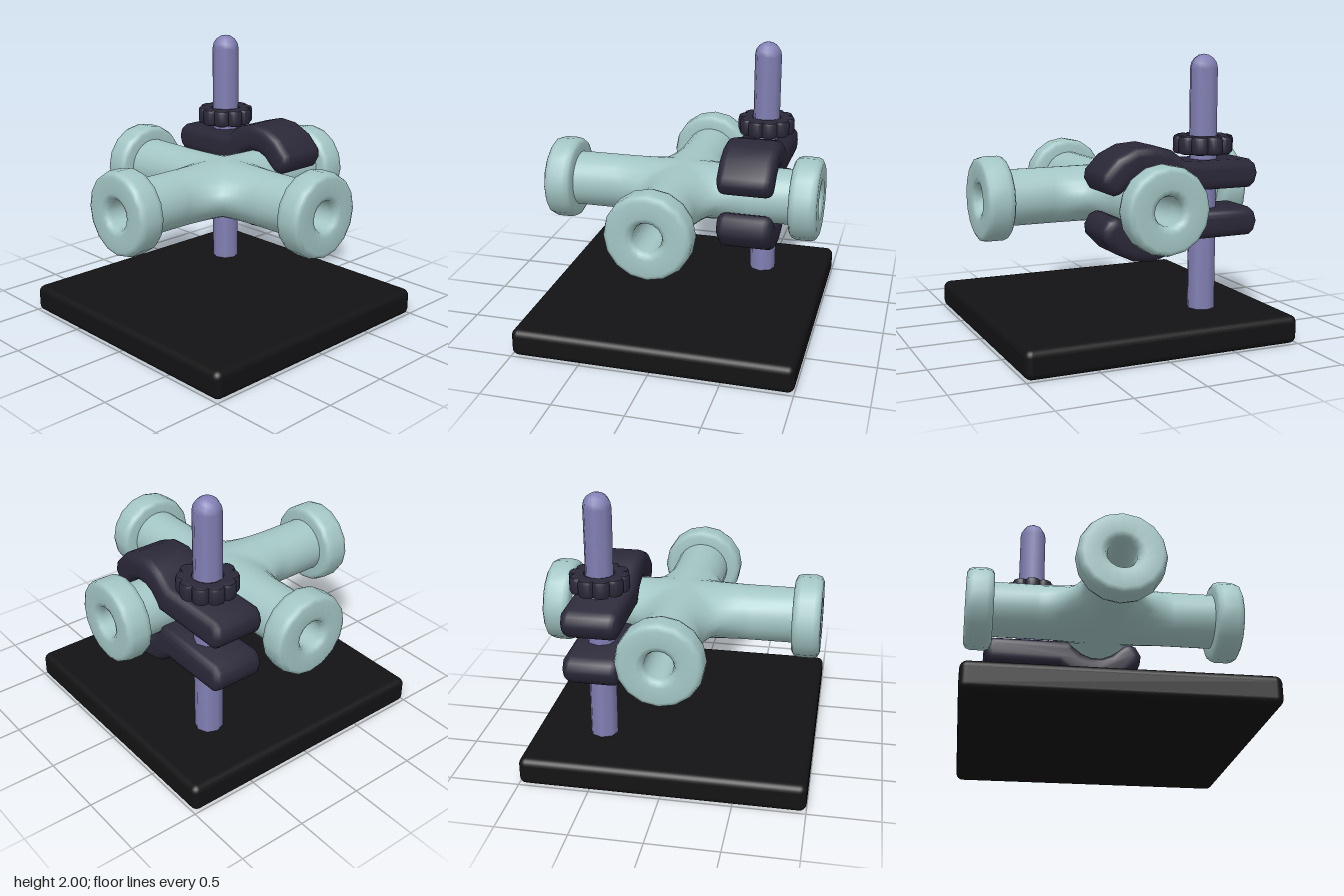
import * as THREE from 'three';
import { mergeGeometries, mergeVertices, toCreasedNormals } from 'three/addons/utils/BufferGeometryUtils.js';
import { RoundedBoxGeometry } from 'three/addons/geometries/RoundedBoxGeometry.js';

const paint = (color) => new THREE.MeshStandardMaterial({ color });
const PIPE = paint(0xa3c6c5), ROD = paint(0x8280b4), CLAMP = paint(0x2b2839), BASE = paint(0x131315);

const lathe = (points, sides) =>
  new THREE.LatheGeometry(points.map(([r, y]) => new THREE.Vector2(r, y)), sides);

// Skin of a four-way pipe joint: each quadrant spans from the arm ridges out to
// a side curve, through half-ellipse sections. rows = [ridgeX, ridgeZ, sideX, sideZ].
function crossSkin(rows, radius, inward) {
  const n = 13, pos = [], index = [];
  rows.forEach(([rx, rz, sx, sz], i) => {
    for (let j = 0; j < n; j++) {
      const a = -Math.PI / 2 + (Math.PI * j) / (n - 1), c = Math.cos(a);
      pos.push(rx + (sx - rx) * c, radius * Math.sin(a), rz + (sz - rz) * c);
      if (i === rows.length - 1 || j === n - 1) continue;
      const p = i * n + j, q = p + n;
      if (inward) index.push(p, q, p + 1, p + 1, q, q + 1);
      else index.push(p, p + 1, q, p + 1, q + 1, q);
    }
  });
  const quadrant = new THREE.BufferGeometry();
  quadrant.setAttribute('position', new THREE.Float32BufferAttribute(pos, 3));
  quadrant.setIndex(index);
  const parts = [0, 1, 2, 3].map((k) => quadrant.clone().rotateY((k * Math.PI) / 2));
  const skin = mergeVertices(mergeGeometries(parts), 1e-4);
  skin.computeVertexNormals();
  return skin;
}

// Clamp jaw: flat arm behind, curved grip over the pipe; sign -1 gives the lower jaw
function jawGeometry(sign) {
  const pts = [[-0.79, 0.27], [-0.83, 0.235], [-0.85, 0.17], [-0.83, 0.105], [-0.79, 0.07], [-0.19, 0.07]];
  const arc = (r, from, to, steps) => {
    for (let i = 0; i <= steps; i++) {
      const a = THREE.MathUtils.degToRad(from + ((to - from) * i) / steps);
      pts.push([r * Math.cos(a), r * Math.sin(a)]);
    }
  };
  arc(0.2, 145, 35, 5);
  pts.push([0.21, 0.08], [0.25, 0.07], [0.3, 0.09], [0.34, 0.16]);
  arc(0.4, 34, 137, 5);
  const bevel = 0.06;
  const shape = new THREE.Shape(pts.map(([z, y]) => new THREE.Vector2(z, sign * y)));
  const geo = new THREE.ExtrudeGeometry(shape, {
    depth: 0.4 - 2 * bevel, bevelThickness: bevel, bevelSize: bevel, bevelOffset: -bevel, bevelSegments: 4,
  });
  geo.translate(0, 0, bevel - 0.2).rotateY(-Math.PI / 2);
  return toCreasedNormals(geo, 0.9);
}

// Scalloped ring that screws onto the rod
function nutGeometry() {
  const lobes = 10, steps = 80, bevel = 0.025, height = 0.13;
  const outline = Array.from({ length: steps }, (_, i) => {
    const a = (i / steps) * Math.PI * 2;
    const r = 0.182 + 0.03 * Math.sqrt(Math.abs(Math.cos((a * lobes) / 2)));
    return new THREE.Vector2(r * Math.cos(a), r * Math.sin(a));
  });
  const shape = new THREE.Shape(outline);
  shape.holes.push(new THREE.Path().absarc(0, 0, 0.1, 0, Math.PI * 2, true));
  const geo = new THREE.ExtrudeGeometry(shape, {
    depth: height - 2 * bevel, bevelThickness: bevel, bevelSize: bevel, bevelOffset: -bevel,
    bevelSegments: 2, curveSegments: 12,
  });
  geo.translate(0, 0, bevel - height / 2).rotateX(-Math.PI / 2);
  return toCreasedNormals(geo, 0.6);
}

export function createModel() {
  const model = new THREE.Group();
  const add = (name, geometry, material, x = 0, y = 0, z = 0) => {
    const mesh = new THREE.Mesh(geometry, material);
    mesh.name = name;
    mesh.position.set(x, y, z);
    model.add(mesh);
    return mesh;
  };

  // Base plate
  add('basePlate', new RoundedBoxGeometry(2, 0.2, 2, 3, 0.05), BASE, 0, 0.1, 0);

  // Upright rod with a domed tip
  const rod = [[0.1, 0.15], [0.1, 1.9]];
  for (let i = 1; i <= 4; i++) {
    const a = (i * Math.PI) / 8;
    rod.push([i === 4 ? 0 : 0.1 * Math.cos(a), 1.9 + 0.1 * Math.sin(a)]);
  }
  add('rod', lathe(rod, 8), ROD, 0.5, 0, -0.5);

  // Four-way pipe with filleted inner corners
  const outer = [[0.85, 0, 0.85, 0.2]], steps = 12;
  for (let i = 0; i <= steps; i++) {
    const t = i / steps, a = (t * Math.PI) / 2;
    outer.push([Math.max(0, 0.5 - t), Math.max(0, t - 0.5),
      0.5 - 0.3 * Math.sin(a), 0.5 - 0.3 * Math.cos(a)]);
  }
  outer.push([0, 0.85, 0.2, 0.85]);
  add('crossPipe', crossSkin(outer, 0.2, false), PIPE, 0, 1, 0);

  // Crossing bores inside the pipe
  const bore = [[0.85, 0, 0.85, 0.1], [0, 0, 0.1, 0.1], [0, 0.85, 0.1, 0.85]];
  add('pipeBore', crossSkin(bore, 0.1, true), PIPE, 0, 1, 0);

  // Rounded collar on each pipe end
  const collar = lathe([[0.19, 0.8], [0.26, 0.8], [0.288, 0.815], [0.3, 0.85], [0.3, 0.95],
    [0.288, 0.985], [0.26, 1], [0.15, 1], [0.115, 0.985], [0.1, 0.95], [0.1, 0.8]], 16);
  collar.rotateX(Math.PI / 2);
  ['frontCollar', 'leftCollar', 'backCollar', 'rightCollar'].forEach((name, k) => {
    add(name, collar, PIPE, 0, 1, 0).rotation.y = (k * Math.PI) / 2;
  });

  // Clamp jaws and tightening nut
  add('upperJaw', jawGeometry(1), CLAMP, 0.5, 1, 0);
  add('lowerJaw', jawGeometry(-1), CLAMP, 0.5, 1, 0);
  add('clampNut', nutGeometry(), CLAMP, 0.5, 1.375, -0.5);

  return model;
}
